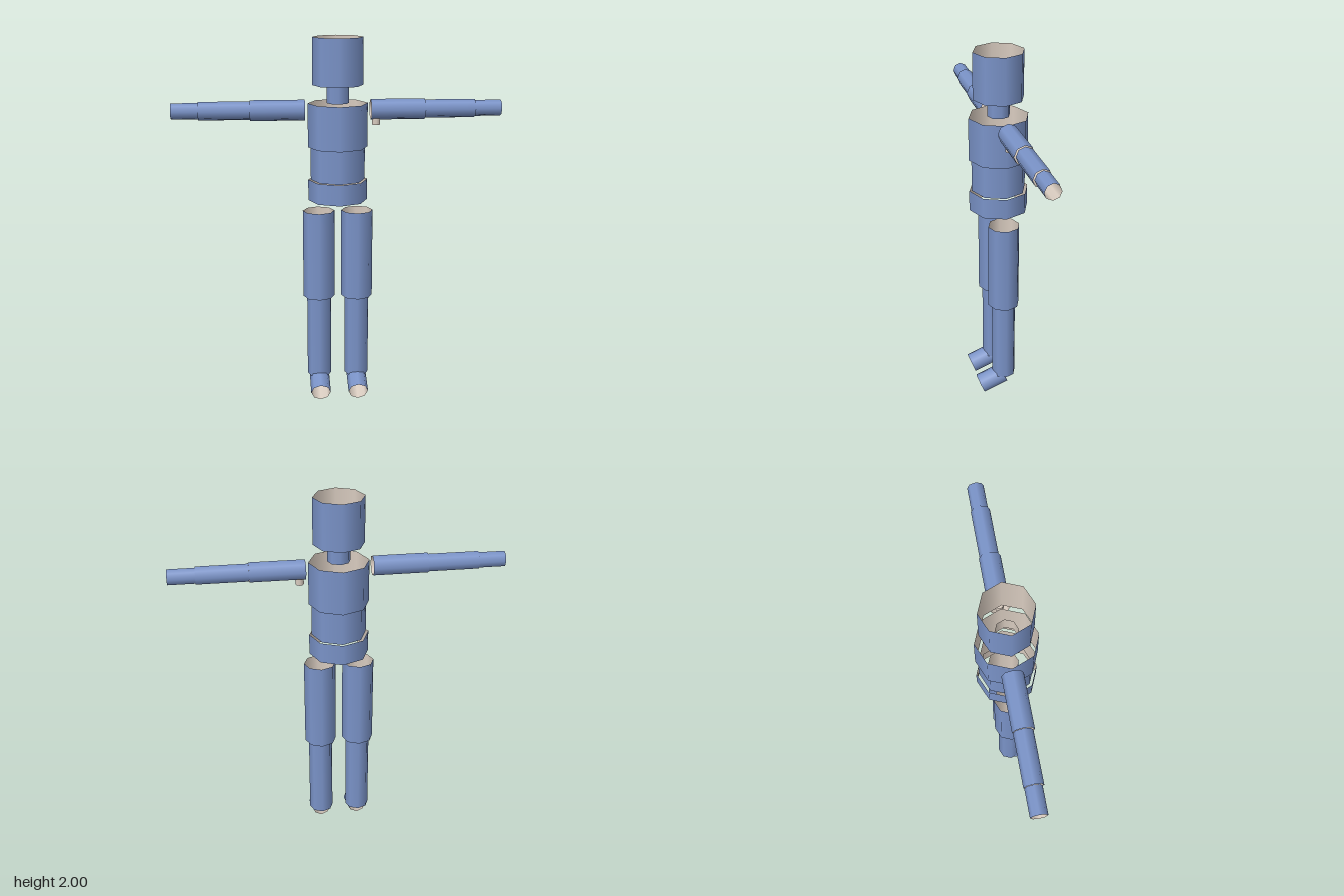
import * as THREE from 'three';

const SIDES = 8;
const WALL = 0.002;

const shellBlue = new THREE.MeshStandardMaterial({ color: 0x7a93c8 });
shellBlue.name = 'shellBlue';
const liningBeige = new THREE.MeshStandardMaterial({ color: 0xd9ccc0 });
liningBeige.name = 'liningBeige';

// Open tube wall facing outwards
function outerWall(radius, length) {
  return new THREE.CylinderGeometry(radius, radius, length, SIDES, 1, true);
}

// Open tube wall facing inwards: mirrored, with its normals turned round
function innerWall(radius, length) {
  const geometry = outerWall(radius, length);
  geometry.scale(-1, 1, 1);
  const normal = geometry.attributes.normal;
  for (let i = 0; i < normal.count; i++) {
    normal.setXYZ(i, -normal.getX(i), -normal.getY(i), -normal.getZ(i));
  }
  return geometry;
}

// Hollow tube standing on its own y axis, centred on its position
function tube(name, radius, length, outside = shellBlue, inside = liningBeige) {
  const part = new THREE.Group();
  part.name = name;
  const shell = new THREE.Mesh(outerWall(radius, length), outside);
  shell.name = name + 'Shell';
  const lining = new THREE.Mesh(innerWall(radius - WALL, length), inside);
  lining.name = name + 'Lining';
  part.add(shell, lining);
  return part;
}

function uprightTube(name, radius, bottom, top, x = 0) {
  const part = tube(name, radius, top - bottom);
  part.position.set(x, (bottom + top) / 2, 0);
  return part;
}

export function createModel() {
  const model = new THREE.Group();
  model.name = 'tubeFigure';

  // Head and trunk
  model.add(
    uprightTube('head', 0.135, 1.75, 2.0),
    uprightTube('neck', 0.06, 1.655, 1.75),
    uprightTube('chest', 0.16, 1.42, 1.655),
    uprightTube('waist', 0.146, 1.243, 1.42),
    uprightTube('hips', 0.16, 1.13, 1.243)
  );

  // Arm sections: name, radius, inner x, outer x, z
  const armSections = [
    ['UpperArm', 0.055, 0.175, 0.465, -0.002],
    ['Forearm', 0.049, 0.465, 0.735, -0.004],
    ['Hand', 0.043, 0.735, 0.877, -0.006],
  ];

  for (const [side, s] of [['left', 1], ['right', -1]]) {
    for (const [name, radius, x0, x1, z] of armSections) {
      const section = tube(side + name, radius, x1 - x0);
      section.rotation.z = -s * Math.PI / 2;
      section.position.set(s * (x0 + x1) / 2, 1.619, z);
      model.add(section);
    }

    // Legs
    const x = s * 0.105;
    model.add(
      uprightTube(side + 'Thigh', 0.086, 0.58, 1.07, x),
      uprightTube(side + 'Shin', 0.066, 0.115, 0.58, x)
    );

    // Foot tipped forwards and down
    const foot = tube(side + 'Foot', 0.055, 0.145);
    foot.rotation.x = Math.PI / 2 + 0.38;
    foot.position.set(x, 0.079, 0.069);
    model.add(foot);
  }

  // Small peg under the left shoulder, with the two colours swapped
  const peg = tube('shoulderPeg', 0.022, 0.068, liningBeige, shellBlue);
  peg.position.set(0.205, 1.571, 0);
  model.add(peg);

  return model;
}
